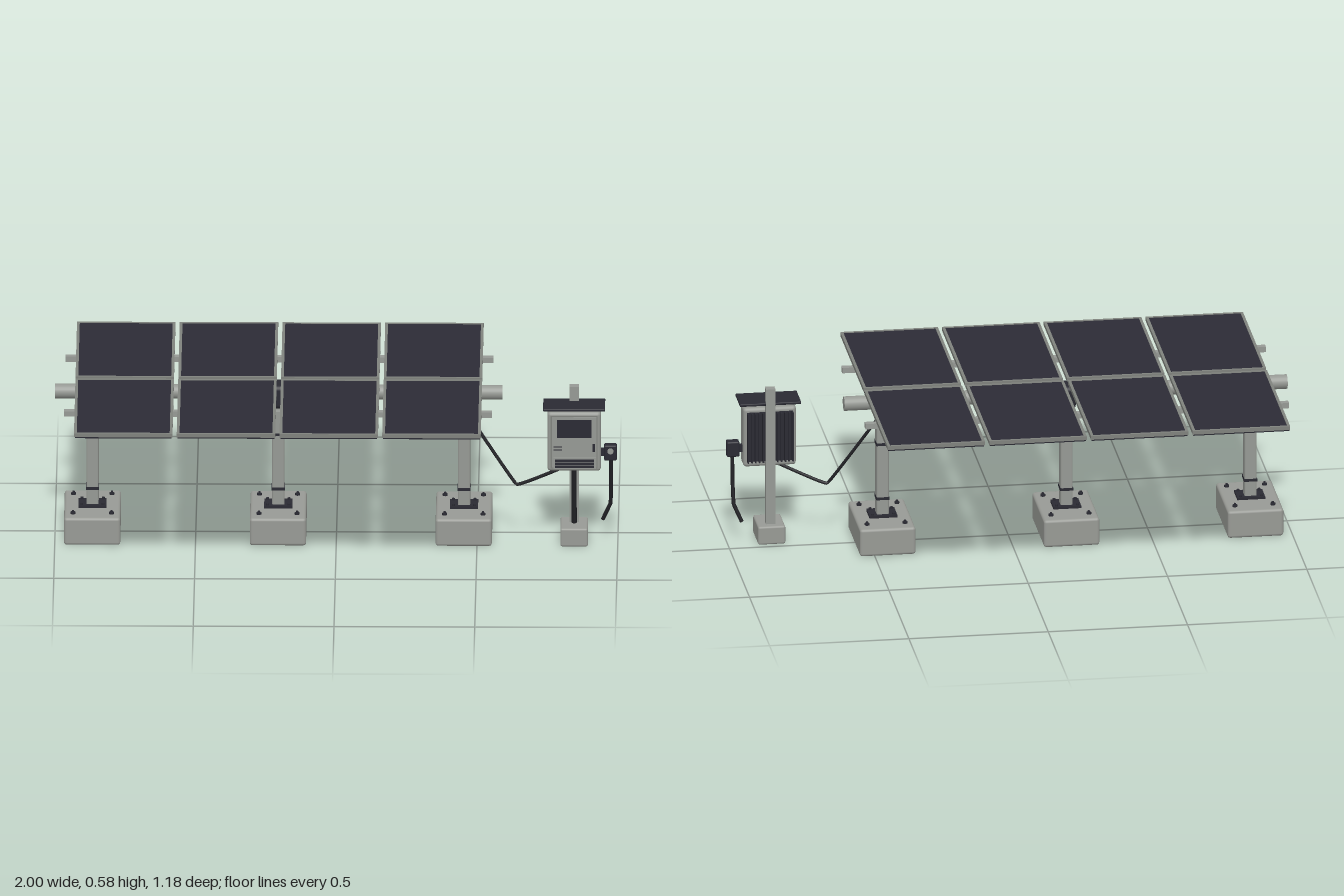
import * as THREE from 'three';
import { RoundedBoxGeometry } from 'three/addons/geometries/RoundedBoxGeometry.js';

const paint = (name, color) => Object.assign(new THREE.MeshStandardMaterial({ color }), { name });

export function createModel() {
  const concrete = paint('concrete', 0x989a95);
  const steel = paint('steel', 0x969994);
  const frameGrey = paint('frame grey', 0x7f827d);
  const cell = paint('solar cell', 0x2c2b36);
  const dark = paint('dark plastic', 0x2a2a33);
  const rubber = paint('rubber', 0x202024);

  const model = new THREE.Group();
  model.name = 'solarArray';

  const add = (parent, name, geometry, material, x = 0, y = 0, z = 0) => {
    const mesh = new THREE.Mesh(geometry, material);
    mesh.name = name;
    mesh.position.set(x, y, z);
    parent.add(mesh);
    return mesh;
  };
  const box = (parent, name, material, w, h, d, x, y, z) =>
    add(parent, name, new THREE.BoxGeometry(w, h, d), material, x, y, z);
  const rounded = (parent, name, material, w, h, d, r, x, y, z) =>
    add(parent, name, new RoundedBoxGeometry(w, h, d, 2, r), material, x, y, z);
  const cable = (parent, name, radius, points) => {
    const path = new THREE.CatmullRomCurve3(points.map((p) => new THREE.Vector3(...p)), false, 'catmullrom', 0.08);
    return add(parent, name, new THREE.TubeGeometry(path, 48, radius, 8), rubber);
  };
  const group = (name, x = 0, y = 0, z = 0) => {
    const g = new THREE.Group();
    g.name = name;
    g.position.set(x, y, z);
    model.add(g);
    return g;
  };

  // Three posts on concrete footings
  for (const x of [-0.867, -0.207, 0.453]) {
    const post = group('post', x);
    rounded(post, 'footing', concrete, 0.2, 0.102, 0.304, 0.01, 0, 0.051, 0);
    box(post, 'basePlate', dark, 0.1, 0.01, 0.08, 0, 0.106, 0);
    rounded(post, 'column', steel, 0.044, 0.4, 0.05, 0.006, 0, 0.3, 0);
    for (const y of [0.17, 0.375]) box(post, 'band', dark, 0.047, 0.01, 0.053, 0, y, 0);
    for (const sx of [-1, 1]) for (const sz of [-1, 1]) {
      add(post, 'anchorBolt', new THREE.CylinderGeometry(0.009, 0.009, 0.008, 8), dark, sx * 0.068, 0.105, sz * 0.102);
      add(post, 'anchorStud', new THREE.CylinderGeometry(0.004, 0.004, 0.014, 8), dark, sx * 0.068, 0.108, sz * 0.102);
      add(post, 'plateBolt', new THREE.CylinderGeometry(0.006, 0.006, 0.007, 6), dark, sx * 0.038, 0.114, sz * 0.03);
    }
    rounded(post, 'bearingHousing', dark, 0.065, 0.088, 0.088, 0.017, 0, 0.519, 0);
    for (const sx of [-1, 1]) {
      const ring = add(post, 'bearingRing', new THREE.TorusGeometry(0.029, 0.005, 8, 24), dark, sx * 0.033, 0.528, 0);
      ring.rotation.y = Math.PI / 2;
    }
  }

  // Torque tube along the array
  const tube = add(model, 'torqueTube', new THREE.CylinderGeometry(0.026, 0.026, 1.59, 24), steel, -0.205, 0.528, 0);
  tube.rotation.z = Math.PI / 2;

  // Long rails under the panels
  for (const side of [-1, 1]) {
    box(model, 'rail', steel, 1.52, 0.02, 0.024, -0.205, 0.549, side * 0.289);
  }

  // Panels in two rows of four
  for (let i = 0; i < 4; i++) {
    const x = -0.7525 + i * 0.365;
    for (const side of [-1, 1]) {
      const panel = group('panel', x, 0, side * 0.3);
      const w = 0.35, d = 0.58, t = 0.01;
      for (const s of [-1, 1]) {
        box(panel, 'frameSide', frameGrey, t, 0.014, d, s * (w - t) / 2, 0.572, 0);
        box(panel, 'frameEnd', frameGrey, w - 2 * t, 0.014, t, 0, 0.572, s * (d - t) / 2);
      }
      box(panel, 'cells', cell, w - 2 * t, 0.011, d - 2 * t, 0, 0.5715, 0);
      box(panel, 'backSheet', dark, w - 0.006, 0.006, d - 0.006, 0, 0.563, 0);
      box(panel, 'junctionBox', dark, 0.05, 0.01, 0.032, 0, 0.555, side * -0.135);
      box(panel, 'supportArm', dark, 0.02, 0.011, 0.24, 0, 0.547, side * -0.132);
    }
  }

  // Control cabinet on its own pole
  const cabinet = group('controlCabinet', 0.845);
  rounded(cabinet, 'cabinetFooting', concrete, 0.098, 0.068, 0.132, 0.007, 0, 0.034, 0.086);
  box(cabinet, 'cabinetPole', steel, 0.034, 0.517, 0.032, 0, 0.319, 0.063);
  rounded(cabinet, 'cabinetBody', steel, 0.19, 0.222, 0.068, 0.012, 0, 0.39, 0.103);
  box(cabinet, 'cabinetDoor', frameGrey, 0.166, 0.198, 0.004, 0, 0.39, 0.137);
  box(cabinet, 'doorPanel', steel, 0.158, 0.19, 0.004, 0, 0.39, 0.138);
  box(cabinet, 'screen', dark, 0.122, 0.068, 0.004, 0.001, 0.441, 0.14);
  for (const y of [0.362, 0.373]) box(cabinet, 'indicator', dark, 0.03, 0.004, 0.003, -0.058, y, 0.14);
  box(cabinet, 'latch', dark, 0.008, 0.03, 0.006, 0.07, 0.37, 0.141);
  box(cabinet, 'ventFrame', steel, 0.15, 0.042, 0.006, 0.002, 0.312, 0.14);
  for (let i = 0; i < 3; i++) box(cabinet, 'ventSlat', dark, 0.138, 0.008, 0.004, 0.002, 0.3 + i * 0.011, 0.143);
  rounded(cabinet, 'roof', dark, 0.22, 0.01, 0.116, 0.003, 0, 0.52, 0.108);
  box(cabinet, 'heatSink', dark, 0.165, 0.185, 0.006, 0, 0.393, 0.068);
  for (let i = 0; i < 5; i++) for (const s of [-1, 1]) {
    box(cabinet, 'coolingFin', dark, 0.005, 0.185, 0.022, s * (0.026 + i * 0.0135), 0.393, 0.058);
  }

  // Socket box with a round face on the cabinet side
  const socket = group('socket', 0.974, 0.342, 0.103);
  rounded(socket, 'socketBox', dark, 0.046, 0.058, 0.034, 0.006, 0, 0, 0);
  box(socket, 'socketMount', dark, 0.03, 0.026, 0.02, -0.03, 0, 0);
  const face = add(socket, 'socketFace', new THREE.CylinderGeometry(0.011, 0.011, 0.005, 16), steel, 0, 0.008, 0.017);
  face.rotation.x = Math.PI / 2;

  // Cables
  cable(model, 'arrayCable', 0.006, [[0.462, 0.475, 0.018], [0.47, 0.45, 0.023], [0.64, 0.205, 0.066], [0.8, 0.275, 0.088], [0.82, 0.285, 0.09]]);
  cable(model, 'groundCable', 0.009, [[0.845, 0.29, 0.098], [0.845, 0.2, 0.092], [0.845, 0.065, 0.085]]);
  cable(model, 'chargeCable', 0.007, [[0.976, 0.315, 0.1], [0.976, 0.22, 0.09], [0.974, 0.14, 0.078], [0.946, 0.075, 0.068]]);

  return model;
}
